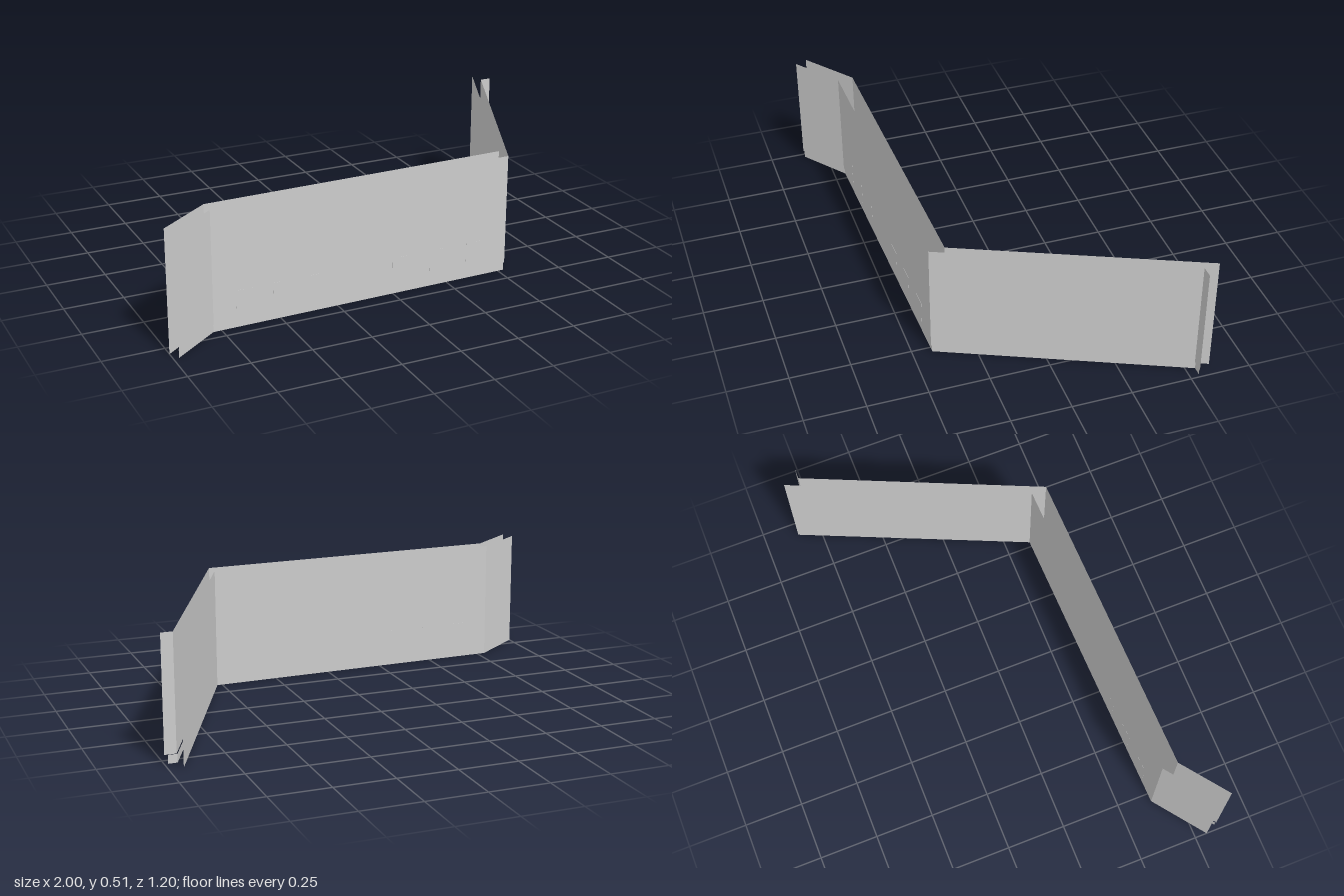
import * as THREE from 'three';

const material = new THREE.MeshStandardMaterial({
  color: 0xcccccc, side: THREE.DoubleSide, flatShading: true,
});

// Upright sheet that follows a plan path of [x, z] points
function sheet(name, path, bottom, top) {
  const positions = [];
  for (let i = 0; i < path.length - 1; i++) {
    const [ax, az] = path[i];
    const [bx, bz] = path[i + 1];
    positions.push(
      ax, bottom, az, bx, bottom, bz, bx, top, bz,
      ax, bottom, az, bx, top, bz, ax, top, az,
    );
  }
  const geometry = new THREE.BufferGeometry();
  geometry.setAttribute('position', new THREE.Float32BufferAttribute(positions, 3));
  geometry.computeVertexNormals();
  const mesh = new THREE.Mesh(geometry, material);
  mesh.name = name;
  return mesh;
}

export function createModel() {
  const group = new THREE.Group();
  group.name = 'foldedWall';
  const height = 0.51, baseHeight = 0.035;

  // Front skin, ending in a short return at the far right
  const front = [[-0.978, 0.602], [-0.785, 0.455], [0.527, 0.425], [0.95, -0.535], [0.998, -0.535]];
  group.add(sheet('frontSkin', front, baseHeight, height));

  // Base strip, set back slightly under the front skin
  const base = [[-0.978, 0.597], [-0.785, 0.45], [0.525, 0.42], [0.948, -0.539], [0.985, -0.539]];
  group.add(sheet('baseStrip', base, 0, baseHeight));

  // Back skin, full height; the gap between the skins is open
  const back = [[-1, 0.552], [-0.785, 0.389], [0.522, 0.358], [0.942, -0.602]];
  group.add(sheet('backSkin', back, 0, height));

  // Small blocks bridging the two skins of the long section
  const slope = (0.455 - 0.425) / 1.312;
  const blocks = new THREE.Group();
  blocks.name = 'spacerBlocks';
  for (const x of [-0.653, -0.498, -0.34, 0.03, 0.2, 0.373]) {
    const block = new THREE.Mesh(new THREE.BoxGeometry(0.07, 0.1, 0.067), material);
    block.name = 'spacerBlock';
    block.position.set(x, 0.108, 0.422 - slope * (x + 0.785));
    block.rotation.y = Math.atan(slope);
    blocks.add(block);
  }
  group.add(blocks);
  return group;
}
